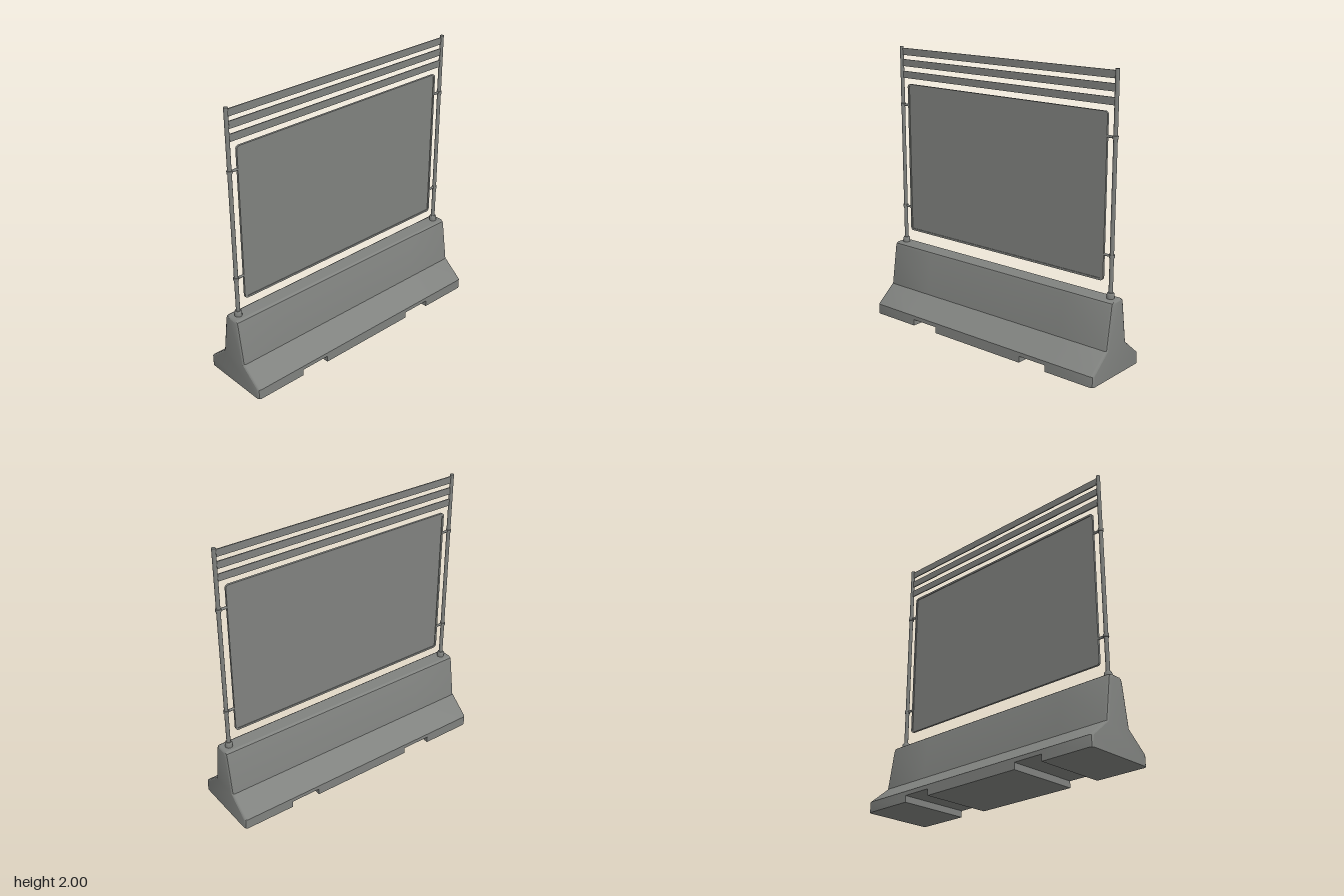
import * as THREE from 'three';
import { toCreasedNormals } from 'three/addons/utils/BufferGeometryUtils.js';

const grey = new THREE.MeshStandardMaterial({ color: 0x80827f });
grey.name = 'concreteGrey';

function add(group, name, geometry, x = 0, y = 0, z = 0) {
  const mesh = new THREE.Mesh(geometry, grey);
  mesh.name = name;
  mesh.position.set(x, y, z);
  group.add(mesh);
  return mesh;
}

// Right half of the barrier section, from the foot to the crown
const half = [[0.262, 0], [0.262, 0.075], [0.112, 0.2], [0.068, 0.494], [0.062, 0.512], [0.046, 0.522]];

function section(z, bottom, inset) {
  const right = half.map(([x, y], i) => [x - inset, i === 0 ? bottom : y - (i > 2 ? inset * 0.6 : 0)]);
  const left = right.map(([x, y]) => [-x, y]).reverse();
  return [...right, ...left].map(([x, y]) => new THREE.Vector3(x, y, z));
}

// Loft along z; paired stations at one z make the walls of the two floor notches
function barrierGeometry() {
  const stations = [[-0.995, 0, 0.018], [-0.988, 0, 0.006], [-0.975, 0, 0]];
  for (const [a, b] of [[-0.61, -0.39], [0.39, 0.61]]) {
    stations.push([a, 0, 0], [a, 0.046, 0], [b, 0.046, 0], [b, 0, 0]);
  }
  stations.push([0.975, 0, 0], [0.988, 0, 0.006], [0.995, 0, 0.018]);
  const rings = stations.map((s) => section(...s));
  const positions = [];
  const triangle = (a, b, c) => {
    if (new THREE.Triangle(a, b, c).getArea() < 1e-8) return;
    for (const p of [a, b, c]) positions.push(p.x, p.y, p.z);
  };
  const n = rings[0].length;
  for (let k = 0; k + 1 < rings.length; k++) {
    for (let i = 0; i < n; i++) {
      const j = (i + 1) % n;
      const [p, q] = [rings[k], rings[k + 1]];
      triangle(p[i], p[j], q[j]);
      triangle(p[i], q[j], q[i]);
    }
  }
  // End caps
  const last = rings[rings.length - 1];
  const faces = THREE.ShapeUtils.triangulateShape(last.map((p) => new THREE.Vector2(p.x, p.y)), []);
  for (const [a, b, c] of faces) {
    triangle(last[a], last[b], last[c]);
    triangle(rings[0][a], rings[0][c], rings[0][b]);
  }
  const geometry = new THREE.BufferGeometry();
  geometry.setAttribute('position', new THREE.Float32BufferAttribute(positions, 3));
  geometry.computeVertexNormals();
  return toCreasedNormals(geometry, 0.55);
}

function roundedRect(path, w, h, r) {
  path.moveTo(-w + r, -h);
  path.lineTo(w - r, -h);
  path.absarc(w - r, -h + r, r, -Math.PI / 2, 0);
  path.absarc(w - r, h - r, r, 0, Math.PI / 2);
  path.absarc(-w + r, h - r, r, Math.PI / 2, Math.PI);
  path.absarc(-w + r, -h + r, r, Math.PI, Math.PI * 1.5);
  return path;
}

// Flat plate lying in the yz plane, centred on x = 0
function plate(shape, thickness) {
  return new THREE.ExtrudeGeometry(shape, { depth: thickness, bevelEnabled: false, curveSegments: 5 })
    .translate(0, 0, -thickness / 2)
    .rotateY(Math.PI / 2);
}

export function createModel() {
  const model = new THREE.Group();
  model.name = 'barrierWithScreen';
  add(model, 'concreteBarrier', barrierGeometry());

  // Posts with their base sockets, caps and panel brackets
  for (const side of [-1, 1]) {
    const post = new THREE.Group();
    post.name = side > 0 ? 'frontPost' : 'backPost';
    post.position.z = side * 0.935;
    model.add(post);
    add(post, 'pole', new THREE.CylinderGeometry(0.014, 0.014, 1.48, 12), 0, 1.26, 0);
    const socket = [[0, 0], [0.026, 0], [0.026, 0.034], [0.02, 0.044], [0, 0.044]]
      .map(([x, y]) => new THREE.Vector2(x, y));
    add(post, 'socket', toCreasedNormals(new THREE.LatheGeometry(socket, 12), 0.6), 0, 0.517, 0);
    for (const y of [0.806, 1.575]) {
      add(post, 'clamp', new THREE.CylinderGeometry(0.019, 0.019, 0.02, 12), 0, y, 0);
      const arm = add(post, 'bracketArm', new THREE.CylinderGeometry(0.009, 0.009, 0.072, 8), 0, y, -side * 0.036);
      arm.rotation.x = Math.PI / 2;
    }
  }

  // Three slats across the top
  for (const y of [1.797, 1.882, 1.963]) {
    add(model, 'topSlat', new THREE.BoxGeometry(0.008, 0.05, 1.85), 0, y, 0);
  }

  // Screen panel inside a rounded frame
  add(model, 'screenPanel', plate(roundedRect(new THREE.Shape(), 0.868, 0.543, 0.015), 0.006), 0, 1.179, 0);
  const frame = roundedRect(new THREE.Shape(), 0.876, 0.552, 0.022);
  frame.holes.push(roundedRect(new THREE.Path(), 0.862, 0.538, 0.01));
  add(model, 'screenFrame', plate(frame, 0.016), 0, 1.179, 0);
  return model;
}
